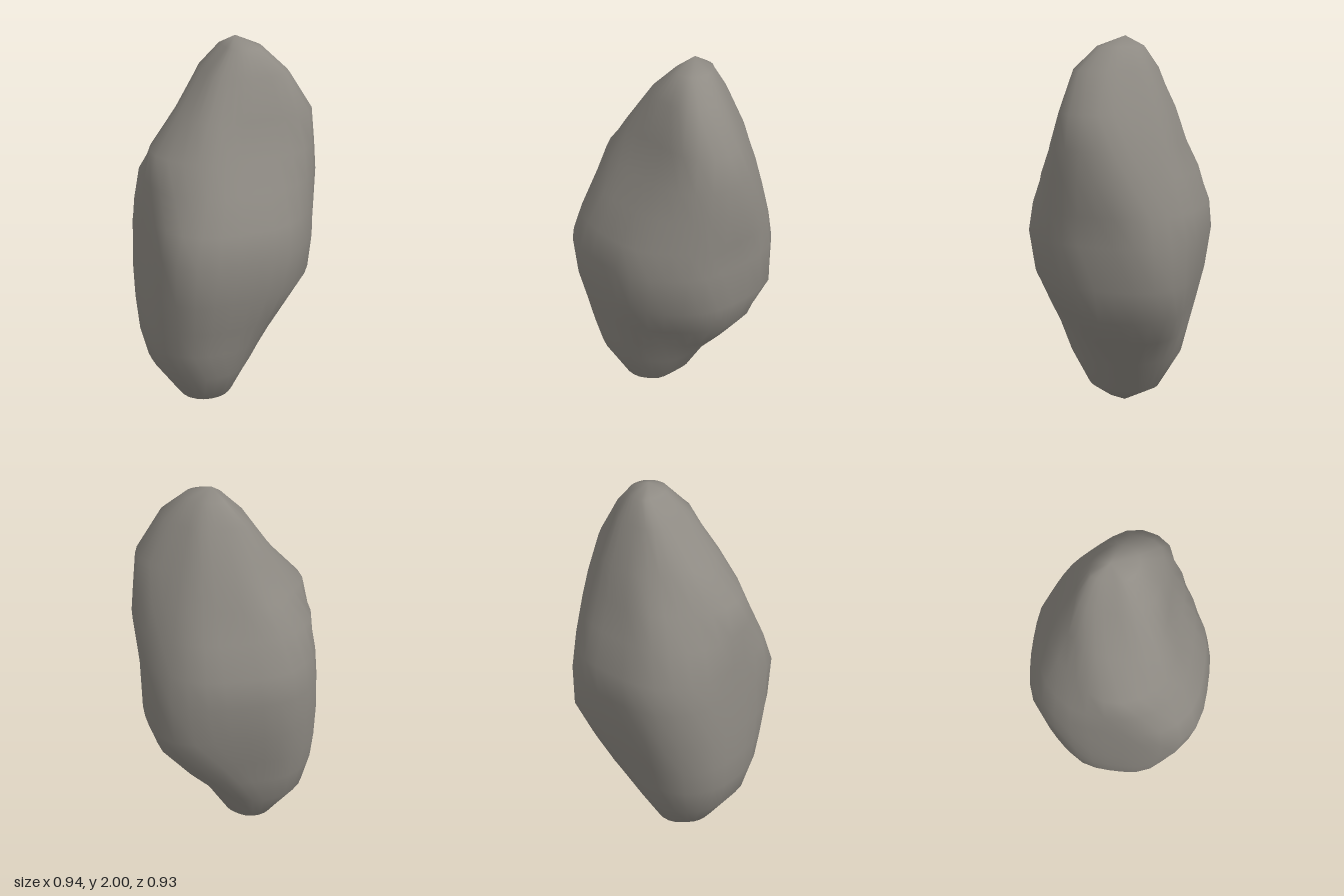
import * as THREE from 'three';

// Heights of the rock's cross-sections
const LEVELS = [0.03, 0.1, 0.29, 0.45, 0.6, 0.78, 1.0, 1.15, 1.32, 1.47, 1.64, 1.84, 1.95];

// How far the rock reaches at each level, in eight directions from +x towards +z
const REACH = [
  [-0.09, 0.0, 0.12, 0.26, 0.38, 0.435, 0.435, 0.45, 0.47, 0.455, 0.44, 0.3, 0.19], // left
  [0.0, 0.08, 0.17, 0.24, 0.32, 0.42, 0.45, 0.44, 0.43, 0.42, 0.4, 0.3, 0.15], // front left
  [0.08, 0.205, 0.31, 0.345, 0.385, 0.435, 0.465, 0.43, 0.355, 0.285, 0.22, 0.17, 0.07], // front
  [0.17, 0.3, 0.42, 0.47, 0.5, 0.54, 0.56, 0.5, 0.42, 0.36, 0.26, 0.12, 0.0], // front right
  [0.18, 0.3, 0.43, 0.47, 0.475, 0.475, 0.46, 0.45, 0.435, 0.41, 0.24, 0.1, -0.01], // right
  [0.17, 0.27, 0.41, 0.45, 0.48, 0.5, 0.52, 0.5, 0.45, 0.35, 0.27, 0.19, 0.1], // back right
  [0.07, 0.19, 0.3, 0.34, 0.38, 0.43, 0.465, 0.455, 0.395, 0.345, 0.3, 0.21, 0.15], // back
  [-0.05, 0.07, 0.17, 0.31, 0.42, 0.515, 0.505, 0.48, 0.44, 0.4, 0.34, 0.25, 0.18], // back left
];
const SIDES = 32;
const SHARPNESS = 11; // higher gives crisper corners between the eight faces

function rockGeometry() {
  const points = [-0.13, 0, 0]; // bottom tip
  const index = [];

  // One rounded eight-sided ring per level, around a leaning spine
  LEVELS.forEach((y, level) => {
    const cx = -0.14 + 0.115 * y;
    const cz = -0.02 * y;
    for (let s = 0; s < SIDES; s++) {
      const a = (s / SIDES) * Math.PI * 2;
      let sum = 0;
      REACH.forEach((profile, d) => {
        const b = (d * Math.PI) / 4;
        const h = Math.max(0.02, profile[level] - cx * Math.cos(b) - cz * Math.sin(b));
        sum += Math.pow(Math.max(0, Math.cos(a - b)) / h, SHARPNESS);
      });
      const r = Math.pow(sum, -1 / SHARPNESS);
      points.push(cx + r * Math.cos(a), y, cz + r * Math.sin(a));
    }
  });
  points.push(0.07, 2, -0.06); // top tip

  // Join the rings and close both tips
  const top = points.length / 3 - 1;
  const at = (level, s) => 1 + level * SIDES + (s % SIDES);
  const last = LEVELS.length - 1;
  for (let s = 0; s < SIDES; s++) {
    index.push(0, at(0, s), at(0, s + 1));
    for (let l = 0; l < last; l++) {
      index.push(at(l, s), at(l + 1, s), at(l + 1, s + 1));
      index.push(at(l, s), at(l + 1, s + 1), at(l, s + 1));
    }
    index.push(at(last, s), top, at(last, s + 1));
  }

  const geometry = new THREE.BufferGeometry();
  geometry.setAttribute('position', new THREE.Float32BufferAttribute(points, 3));
  geometry.setIndex(index);
  geometry.computeVertexNormals();
  return geometry;
}

export function createModel() {
  const stone = new THREE.MeshStandardMaterial({ color: 0x8f8b84 });
  stone.name = 'warm grey stone';

  const rock = new THREE.Mesh(rockGeometry(), stone);
  rock.name = 'rock';

  const model = new THREE.Group();
  model.name = 'standingRock';
  model.add(rock);
  return model;
}
